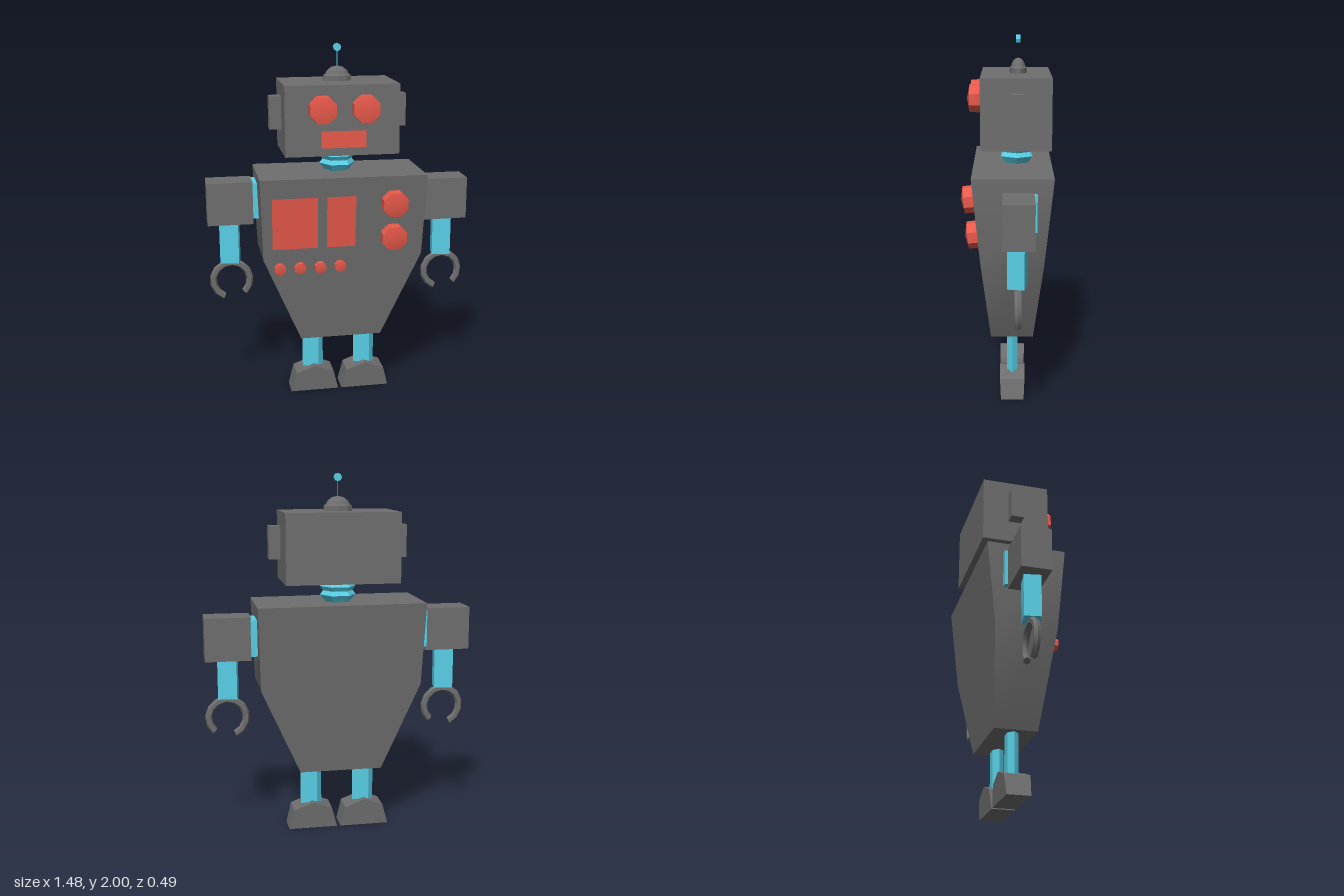
import * as THREE from 'three';
import { toCreasedNormals } from 'three/addons/utils/BufferGeometryUtils.js';

const material = (color) => new THREE.MeshStandardMaterial({ color, side: THREE.DoubleSide });
const grey = material(0x6e6e6e), teal = material(0x58cfe6), red = material(0xea5a4b);

export function createModel() {
  const robot = new THREE.Group();

  const add = (name, geometry, mat, x = 0, y = 0, z = 0) => {
    const mesh = new THREE.Mesh(toCreasedNormals(geometry, 0.6), mat);
    mesh.name = name;
    mesh.position.set(x, y, z);
    robot.add(mesh);
    return mesh;
  };

  // Box given by its limits on each axis
  const box = (name, mat, [x0, x1], [y0, y1], [z0, z1]) =>
    add(name, new THREE.BoxGeometry(x1 - x0, y1 - y0, z1 - z0), mat, (x0 + x1) / 2, (y0 + y1) / 2, (z0 + z1) / 2);

  // Flat rectangle facing forward
  const plate = (name, mat, [x0, x1], [y0, y1], z) =>
    add(name, new THREE.PlaneGeometry(x1 - x0, y1 - y0), mat, (x0 + x1) / 2, (y0 + y1) / 2, z);

  // Outline in x and y, extruded between a back and a front depth that vary with height
  const slab = (name, mat, points, back, front) => {
    const shape = new THREE.Shape(points.map(([x, y]) => new THREE.Vector2(x, y)));
    const geometry = new THREE.ExtrudeGeometry(shape, { depth: 1, bevelEnabled: false });
    const p = geometry.attributes.position;
    for (let i = 0; i < p.count; i++) {
      const y = p.getY(i);
      p.setZ(i, THREE.MathUtils.lerp(back(y), front(y), p.getZ(i)));
    }
    return add(name, geometry, mat);
  };

  // Turned part around the y axis
  const turned = (profile, sides) =>
    new THREE.LatheGeometry(profile.map(([r, y]) => new THREE.Vector2(r, y)), sides);

  // Faceted button facing forward, radius r
  const button = (name, r, depth, x, y, z, tilt) => {
    const geometry = turned([[0, 0], [r * 0.94, 0], [r, depth * 0.15], [r * 0.98, depth * 0.8], [0, depth]], 8);
    geometry.rotateY(Math.PI / 8).rotateX(Math.PI / 2);
    add(name, geometry, red, x, y, z).rotation.x = tilt;
  };

  // Torso, tapering towards the hips in width and depth
  const slope = 0.0995;
  const chestFront = (y) => 0.185 - (1.31 - y) * slope;
  const chestBack = (y) => -0.245 + (1.31 - y) * 0.105;
  slab('torso', grey, [[-0.24, 0.355], [0.22, 0.355], [0.44, 0.845], [0.455, 1.305], [-0.465, 1.31], [-0.45, 0.85]],
    chestBack, chestFront);

  // Chest panels and controls lie on the sloping front
  for (const span of [[-0.4, -0.15], [-0.1, 0.06]]) {
    plate('chestPanel', red, span, [0.91, 1.203], chestFront(1.0565) + 0.002).rotation.x = slope;
  }
  for (const y of [1.16, 0.965]) button('chestDial', 0.075, 0.075, 0.27, y, chestFront(y), slope);
  for (let i = 0; i < 4; i++) button('chestButton', 0.034, 0.034, -0.36 + i * 0.112, 0.8, chestFront(0.8), slope);

  // Bellows neck, six-sided
  const neck = turned([[0.065, 1.3], [0.08, 1.32], [0.1, 1.345], [0.083, 1.368], [0.1, 1.392], [0.07, 1.425]], 6);
  add('neck', neck.rotateY(Math.PI / 6), teal, -0.007, 0, -0.053);

  // Head with face and ears
  box('head', grey, [-0.32, 0.303], [1.42, 1.8], [-0.235, 0.14]);
  for (const x of [-0.122, 0.112]) button('eye', 0.078, 0.075, x, 1.675, 0.14, 0);
  plate('mouth', red, [-0.125, 0.12], [1.463, 1.555], 0.142);
  box('rightEar', grey, [-0.385, -0.32], [1.545, 1.725], [-0.09, -0.018]);
  box('leftEar', grey, [0.312, 0.375], [1.545, 1.725], [-0.09, -0.018]);

  // Stepped dome and antenna
  const dome = turned([[0.08, 1.795], [0.08, 1.828], [0.068, 1.834], [0.058, 1.853], [0.033, 1.873], [0, 1.88]], 10);
  add('dome', dome, grey, -0.005, 0, -0.06).scale.z = 0.58;
  plate('antenna', teal, [-0.007, -0.003], [1.87, 1.97], -0.06);
  const tip = new THREE.CylinderGeometry(0.022, 0.022, 0.022, 8).rotateX(Math.PI / 2);
  add('antennaTip', tip, teal, -0.005, 1.979, -0.06);

  // Arms, the right one set slightly higher
  for (const [side, s, dy] of [['right', -1, 0.023], ['left', 1, 0]]) {
    const span = (a, b) => (s > 0 ? [a, b] : [-b - 0.007, -a - 0.007]);
    box(side + 'ShoulderJoint', teal, span(0.45, 0.485), [1.03 + dy, 1.23 + dy], [-0.157, 0]);
    box(side + 'Shoulder', grey, span(0.482, 0.733), [1.005 + dy, 1.242 + dy], [-0.14, 0.022]);
    add(side + 'Forearm', new THREE.BoxGeometry(0.105, 0.235, 0.09), teal, s > 0 ? 0.607 : -0.618, 0.9 + dy * 0.6, -0.053)
      .rotation.y = -0.16;

    // Open ring claw with its gap pointing down, closed at both ends
    const x = s * 0.615, y = s > 0 ? 0.672 : 0.684, z = -0.057;
    const start = THREE.MathUtils.degToRad(-46), arc = THREE.MathUtils.degToRad(292);
    add(side + 'Claw', new THREE.TorusGeometry(0.104, 0.02, 6, 11, arc).rotateZ(start), grey, x, y, z);
    for (const a of [start, start + arc]) {
      const cap = new THREE.CircleGeometry(0.02, 6).rotateX(Math.PI / 2).rotateZ(a);
      add(side + 'ClawEnd', cap, grey, x + 0.104 * Math.cos(a), y + 0.104 * Math.sin(a), z);
    }
  }

  // Six-sided legs and sloping feet
  for (const [side, legX, footX] of [['right', -0.157, -0.155], ['left', 0.145, 0.142]]) {
    const leg = new THREE.CylinderGeometry(0.06, 0.06, 0.24, 6).rotateY(Math.PI / 6);
    add(side + 'Leg', leg, teal, legX, 0.25, -0.03).scale.z = 0.58;
    const foot = [[-0.139, 0], [0.139, 0], [0.111, 0.112], [0, 0.153], [-0.108, 0.114]];
    slab(side + 'Foot', grey, foot.map(([x, y]) => [x + footX, y]),
      (y) => -0.093 - y * 0.05, (y) => 0.034 + y * 0.05);
  }

  return robot;
}
